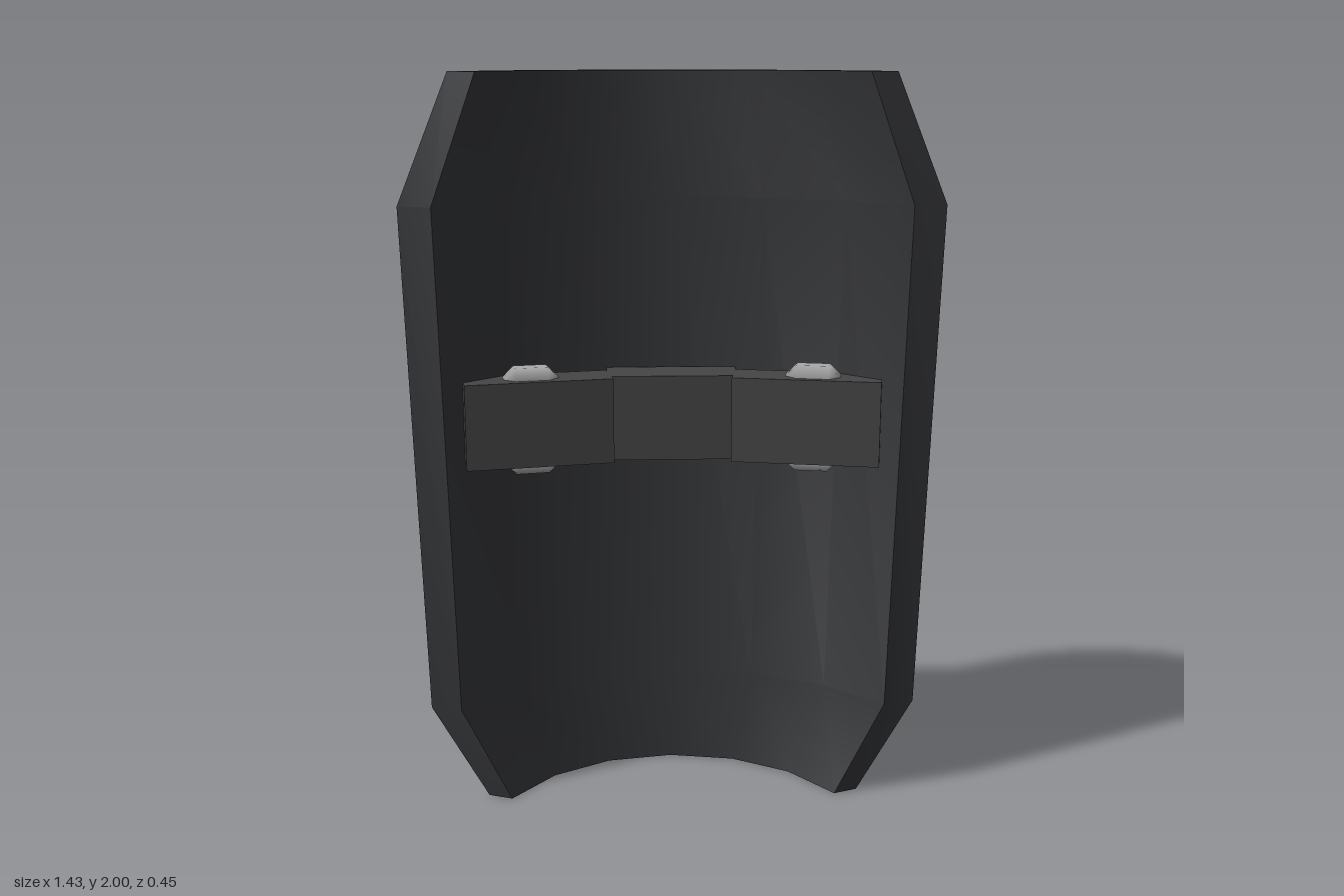
import * as THREE from 'three';
import { toCreasedNormals } from 'three/addons/utils/BufferGeometryUtils.js';
import { ConvexGeometry } from 'three/addons/geometries/ConvexGeometry.js';

const plateMat = new THREE.MeshStandardMaterial({ color: 0x36373a });
const strapMat = new THREE.MeshStandardMaterial({ color: 0x454545 });
const padMat = new THREE.MeshStandardMaterial({ color: 0xaaaaaa });

// Curved plate: one arched section, narrowed in x at each height
function plateGeometry() {
  const outer = [[0, -0.105], [0.27, -0.07], [0.51, 0.03], [0.715, 0.2]];
  const inner = [[0, -0.04], [0.25, -0.008], [0.465, 0.083], [0.625, 0.225]];
  const arch = half => [...half.slice(1).reverse().map(([x, z]) => [-x, z]), ...half];
  const ring = [...arch(outer), ...arch(inner).reverse()];
  const rows = [[0, 0.73], [0.27, 0.944], [1.66, 1], [2, 0.804]];
  const n = ring.length;
  const pos = rows.flatMap(([y, s]) => ring.flatMap(([x, z]) => [x * s, y, z]));
  const index = [];
  for (let r = 0; r < rows.length - 1; r++) {
    for (let i = 0; i < n; i++) {
      const a = r * n + i, b = r * n + (i + 1) % n;
      index.push(a, a + n, b + n, a, b + n, b);
    }
  }
  // Top and bottom edges join the outer and inner arches
  const top = (rows.length - 1) * n;
  for (let i = 0; i < n / 2 - 1; i++) {
    const o = i, p = i + 1, q = n - 2 - i, m = n - 1 - i;
    index.push(top + o, top + m, top + q, top + o, top + q, top + p);
    index.push(o, q, m, o, p, q);
  }
  const g = new THREE.BufferGeometry();
  g.setAttribute('position', new THREE.Float32BufferAttribute(pos, 3));
  g.setIndex(index);
  return toCreasedNormals(g, 0.7);
}

// Box with chamfered edges; flat faces stay flat and chamfers shade softly
function chamferBox(w, h, d, c) {
  const half = [w / 2, h / 2, d / 2];
  const pts = [];
  for (let axis = 0; axis < 3; axis++)
    for (let k = 0; k < 8; k++) {
      const v = half.map((e, i) => ((k >> i) & 1 ? 1 : -1) * (i === axis ? e : e - c));
      pts.push(new THREE.Vector3(...v));
    }
  const g = new ConvexGeometry(pts);
  const p = g.attributes.position;
  for (let i = 0; i < p.count; i++) {
    const v = [p.getX(i), p.getY(i), p.getZ(i)];
    g.attributes.normal.setXYZ(i, ...v.map((e, j) =>
      Math.abs(e) > half[j] - c / 2 ? Math.sign(e) : 0));
  }
  return g;
}

export function createModel() {
  const group = new THREE.Group();
  const add = (name, geometry, material, x, y, z, turn = 0) => {
    const mesh = new THREE.Mesh(geometry, material);
    mesh.name = name;
    mesh.position.set(x, y, z);
    mesh.rotation.y = turn;
    group.add(mesh);
  };

  add('shieldPlate', plateGeometry(), plateMat, 0, 0, 0);

  // Pad on the convex back
  add('backPad', chamferBox(0.43, 0.435, 0.148, 0.045), padMat, 0, 1.072, -0.154);

  // Strap: a middle grip and two slanted arms whose ends run through the plate
  const strapY = 1.072, strapH = 0.235;
  add('strapGrip', new THREE.BoxGeometry(0.36, strapH, 0.13), strapMat, 0, strapY, 0.043);
  for (const [side, s] of [['left', 1], ['right', -1]]) {
    add(side + 'StrapArm', new THREE.BoxGeometry(0.403, strapH, 0.12), strapMat,
      s * 0.369, strapY, 0.117, -s * 0.194);
    add(side + 'StrapClamp', chamferBox(0.15, 0.295, 0.1, 0.03), padMat,
      s * 0.385, strapY, 0.11, -s * 0.194);
  }
  return group;
}
